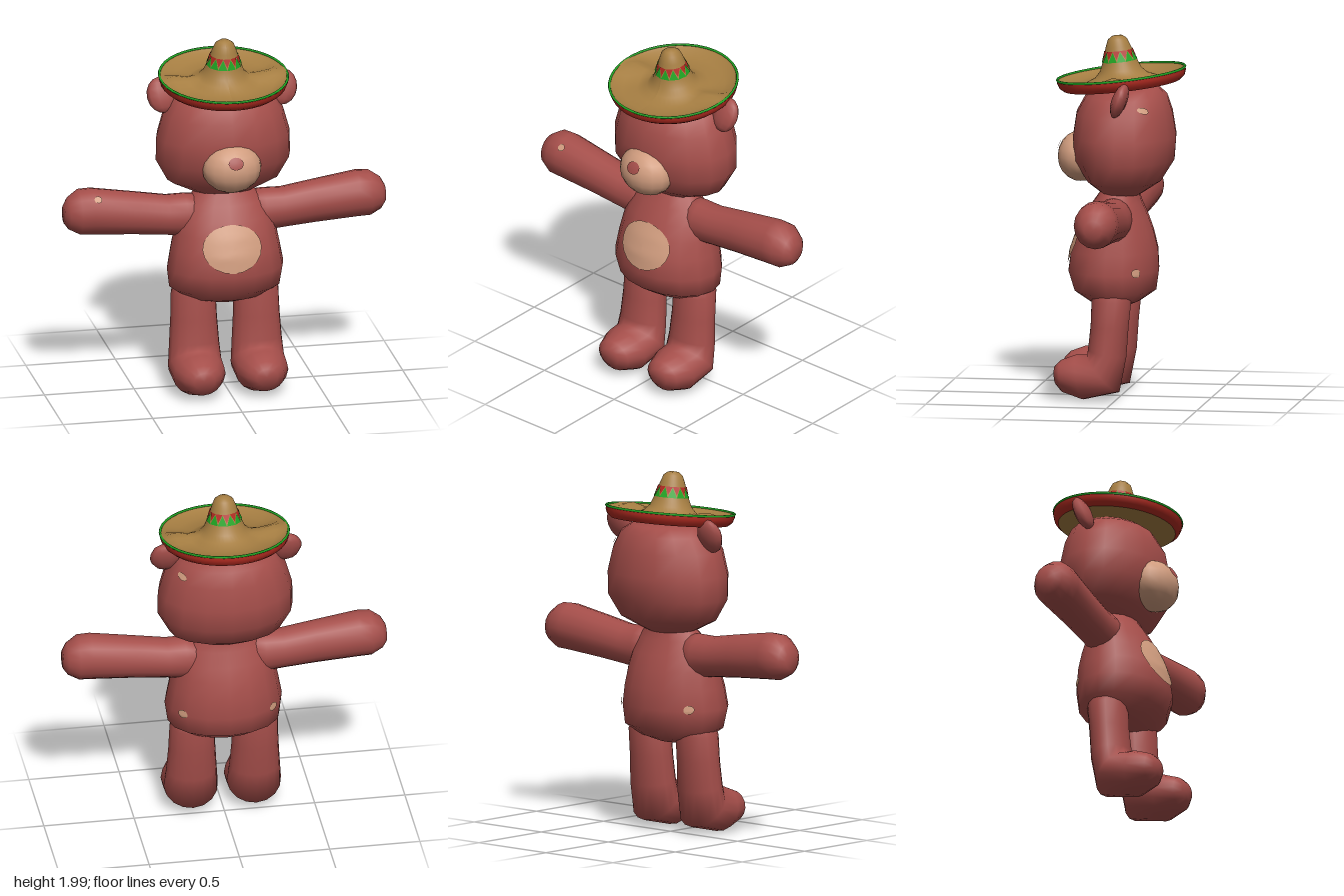
import * as THREE from 'three';

const mat = (name, color, side = THREE.FrontSide) => {
  const m = new THREE.MeshStandardMaterial({ color, side });
  m.name = name;
  return m;
};

// Closed skin over rings [cx, cy, cz, rx, rv, tilt]; tilt turns a ring about x.
function loft(rings, sides = 16) {
  const pos = [], idx = [], n = rings.length;
  for (const [cx, cy, cz, rx, rv, t = 0] of rings) {
    for (let j = 0; j < sides; j++) {
      const a = (j / sides) * Math.PI * 2, v = Math.sin(a) * rv;
      pos.push(cx + Math.cos(a) * rx, cy + v * Math.sin(t), cz + v * Math.cos(t));
    }
  }
  for (let i = 0; i < n - 1; i++) {
    for (let j = 0; j < sides; j++) {
      const k = (j + 1) % sides, a = i * sides, b = a + sides;
      idx.push(a + j, b + j, a + k, a + k, b + j, b + k);
    }
  }
  // end caps
  pos.push(...rings[0].slice(0, 3), ...rings[n - 1].slice(0, 3));
  const c0 = n * sides, top = (n - 1) * sides;
  for (let j = 0; j < sides; j++) {
    const k = (j + 1) % sides;
    idx.push(c0, j, k, c0 + 1, top + k, top + j);
  }
  const g = new THREE.BufferGeometry();
  g.setAttribute('position', new THREE.Float32BufferAttribute(pos, 3));
  g.setIndex(idx);
  g.computeVertexNormals();
  return g;
}

// Front (s = 1) or back (s = -1) depth of a lofted body at x, y
const depthOf = (rings, s) => (x, y) => {
  let i = 0;
  while (i < rings.length - 2 && rings[i + 1][1] < y) i++;
  const a = rings[i], b = rings[i + 1], t = (y - a[1]) / (b[1] - a[1]);
  const at = (k) => a[k] + (b[k] - a[k]) * t;
  return at(2) + s * at(4) * Math.sqrt(Math.max(0, 1 - (x / at(3)) ** 2));
};

// Thin elliptical patch that follows a surface
function patch(cx, cy, rx, ry, depth, s = 1) {
  const g = new THREE.RingGeometry(0.001, 1, 20, 6), p = g.attributes.position;
  for (let i = 0; i < p.count; i++) {
    const x = cx + s * p.getX(i) * rx, y = cy + p.getY(i) * ry;
    p.setXYZ(i, x, y, depth(x, y) + s * 0.006);
  }
  g.computeVertexNormals();
  return g;
}

// Ring of triangular teeth around the hat crown
function teeth(y0, r0, y1, r1, shift, count = 12) {
  const pos = [], step = (Math.PI * 2) / count;
  const put = (a, r, y) => pos.push(Math.sin(a) * r, y, Math.cos(a) * r);
  for (let i = 0; i < count; i++) {
    const a = (i + shift) * step;
    put(a, r0, y0);
    put(a + step, r0, y0);
    put(a + step / 2, r1, y1);
  }
  const g = new THREE.BufferGeometry();
  g.setAttribute('position', new THREE.Float32BufferAttribute(pos, 3));
  g.computeVertexNormals();
  return g;
}

const lathe = (pts) => new THREE.LatheGeometry(pts.map(([x, y]) => new THREE.Vector2(x, y)), 40);

export function createModel() {
  const model = new THREE.Group();
  const fur = mat('fur', 0xa54e4a);
  const cream = mat('cream', 0xd09c7e);
  const straw = mat('straw', 0xa67e42, THREE.DoubleSide);
  const red = mat('red trim', 0xb02a20, THREE.DoubleSide);
  const green = mat('green trim', 0x1fa522, THREE.DoubleSide);
  const add = (name, geo, m, parent = model) => {
    const mesh = new THREE.Mesh(geo, m);
    mesh.name = name;
    parent.add(mesh);
    return mesh;
  };

  // Torso and head
  const torso = [
    [0, 0.51, 0.03, 0.1, 0.07], [0, 0.54, 0.03, 0.22, 0.14], [0, 0.6, 0.03, 0.31, 0.225],
    [0, 0.71, 0.04, 0.325, 0.25], [0, 0.82, 0.035, 0.305, 0.24], [0, 0.92, 0.03, 0.285, 0.21],
    [0, 1.0, 0.025, 0.265, 0.175], [0, 1.08, 0.02, 0.22, 0.135], [0, 1.13, 0.01, 0.17, 0.11],
    [0, 1.2, 0, 0.12, 0.09],
  ];
  const head = [
    [0, 1.11, -0.01, 0.09, 0.07], [0, 1.14, -0.01, 0.18, 0.12], [0, 1.2, -0.02, 0.31, 0.2],
    [0, 1.32, -0.02, 0.375, 0.275], [0, 1.45, -0.02, 0.372, 0.285], [0, 1.58, -0.02, 0.335, 0.265],
    [0, 1.67, -0.03, 0.28, 0.225], [0, 1.715, -0.04, 0.2, 0.17], [0, 1.73, -0.04, 0.1, 0.09],
  ];
  add('torso', loft(torso), fur);
  add('head', loft(head), fur);
  add('bellyPatch', patch(0, 0.865, 0.165, 0.128, depthOf(torso, 1)), cream);

  // Muzzle and nose
  const muzzle = add('muzzle', new THREE.SphereGeometry(1, 16, 10), cream);
  muzzle.scale.set(0.165, 0.14, 0.13);
  muzzle.position.set(0, 1.33, 0.22);
  const muzzleZ = (x, y) => 0.22 + 0.13 * Math.sqrt(1 - (x / 0.165) ** 2 - ((y - 1.33) / 0.14) ** 2);
  add('nose', patch(0, 1.39, 0.042, 0.032, muzzleZ), fur);

  for (const s of [1, -1]) {
    const side = s > 0 ? 'left' : 'right';

    // Arm: along-arm distance, centre height, half height, half depth
    const arm = [
      [0.1, 1.0, 0.12, 0.1], [0.22, 1.005, 0.12, 0.105], [0.32, 1.01, 0.113, 0.105],
      [0.5, 1.033, 0.12, 0.108], [0.74, 1.06, 0.13, 0.12], [0.81, 1.06, 0.127, 0.118],
      [0.87, 1.055, 0.09, 0.085], [0.895, 1.05, 0.05, 0.05],
    ].map(([d, h, rv, rz]) => [-s * h, d, 0.012, rv, rz]);
    add(side + 'Arm', loft(arm), fur).rotation.z = -s * Math.PI / 2;

    // Leg with forward-bent foot
    const x = s * 0.175;
    add(side + 'Leg', loft([
      [x, 0.14, 0.335, 0.06, 0.05, 1.5], [x, 0.135, 0.3, 0.105, 0.088, 1.5],
      [x, 0.132, 0.2, 0.145, 0.125, 1.4], [x, 0.155, 0.07, 0.15, 0.135, 0.85],
      [x, 0.27, 0.048, 0.14, 0.108, 0.2], [x, 0.42, 0.035, 0.13, 0.105],
      [x, 0.56, 0.025, 0.125, 0.11], [x, 0.64, 0.025, 0.09, 0.09],
    ]), fur);

    // Ear, leaning back
    const ear = add(side + 'Ear', new THREE.SphereGeometry(1, 10, 8), fur);
    ear.scale.set(0.085, 0.1, 0.042);
    ear.position.set(s * 0.335, 1.685, -0.045);
    ear.rotation.set(-0.35, 0, -s * 0.15);

    add(side + 'BackSpot', patch(s * 0.25, 0.72, 0.022, 0.024, depthOf(torso, -1), -1), cream);
  }

  // Small cream spots
  add('headSpot', patch(0.26, 1.62, 0.02, 0.018, depthOf(head, -1), -1), cream);
  const spot = add('armSpot', new THREE.CircleGeometry(0.022, 8), cream);
  spot.position.set(-0.72, 1.153, 0.1);
  spot.rotation.x = -Math.PI / 4;

  // Wide-brimmed hat, tipped forward
  const hat = new THREE.Group();
  hat.name = 'hat';
  hat.position.y = 1.79;
  hat.rotation.x = 0.115;
  model.add(hat);
  const crown = lathe([
    [0.352, 0], [0.33, -0.015], [0.28, -0.033], [0.2, -0.035], [0.145, -0.012], [0.115, 0.02],
    [0.098, 0.06], [0.08, 0.11], [0.068, 0.15], [0.052, 0.19], [0.03, 0.207], [0, 0.211],
  ]);
  // Soft crease raised on both sides of the brim
  const p = crown.attributes.position;
  for (let i = 0; i < p.count; i++) {
    const x = p.getX(i), z = p.getZ(i);
    const w = Math.exp(-(((Math.abs(x) - 0.25) / 0.07) ** 2) - (z / 0.07) ** 2);
    p.setY(i, p.getY(i) + 0.055 * w);
  }
  crown.computeVertexNormals();
  add('crownAndBrim', crown, straw, hat);
  add('brimUnderside', lathe([[0, -0.07], [0.2, -0.072], [0.322, -0.064]]), straw, hat);
  add('brimBand', lathe([[0.322, -0.064], [0.345, -0.045], [0.354, -0.02], [0.354, 0]]), red, hat);
  const rim = add('brimEdge', new THREE.TorusGeometry(0.352, 0.007, 6, 40), green, hat);
  rim.rotation.x = Math.PI / 2;
  add('crownGreenTeeth', teeth(0.07, 0.099, 0.125, 0.08, 0), green, hat);
  add('crownRedTeeth', teeth(0.13, 0.079, 0.085, 0.094, 0.5), red, hat);

  return model;
}
